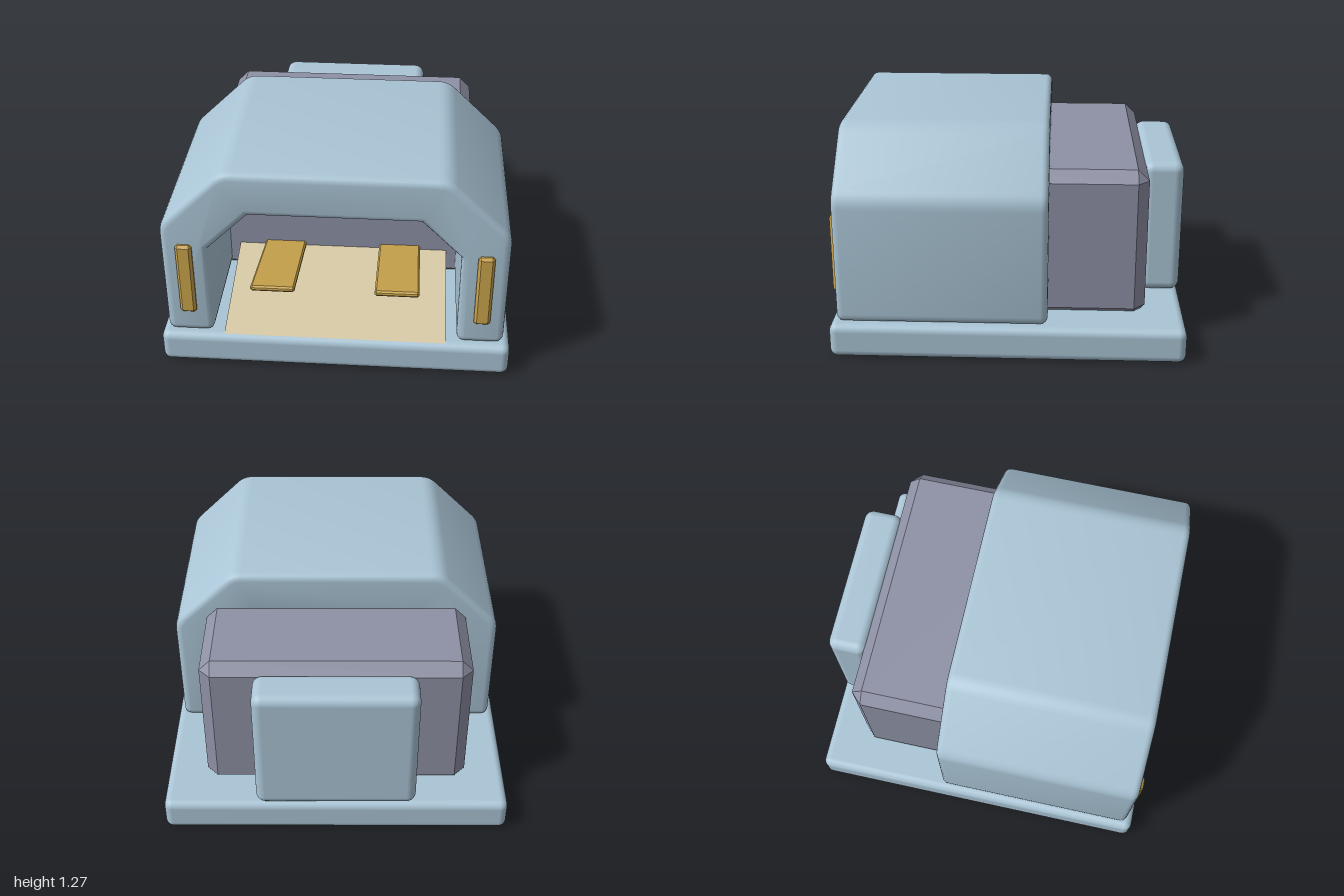
import * as THREE from 'three';
import { toCreasedNormals } from 'three/addons/utils/BufferGeometryUtils.js';
import { RoundedBoxGeometry } from 'three/addons/geometries/RoundedBoxGeometry.js';
import { ConvexGeometry } from 'three/addons/geometries/ConvexGeometry.js';

const mat = (name, color, side = THREE.FrontSide) => {
  const m = new THREE.MeshStandardMaterial({ color, side });
  m.name = name;
  return m;
};

// Box with every edge cut flat by c
function chamferBox(w, h, d, c) {
  const pts = [];
  for (const sx of [-1, 1]) for (const sy of [-1, 1]) for (const sz of [-1, 1]) {
    const [x, y, z] = [w / 2, h / 2, d / 2];
    pts.push(new THREE.Vector3(sx * x, sy * (y - c), sz * (z - c)));
    pts.push(new THREE.Vector3(sx * (x - c), sy * y, sz * (z - c)));
    pts.push(new THREE.Vector3(sx * (x - c), sy * (y - c), sz * z));
  }
  return new ConvexGeometry(pts);
}

// Closed outline from [x, y, cornerRadius] points
function roundedShape(points) {
  const shape = new THREE.Shape();
  const n = points.length;
  points.forEach(([x, y, r], i) => {
    const p = new THREE.Vector2(x, y);
    const toward = ([qx, qy]) => new THREE.Vector2(qx, qy).sub(p).setLength(r).add(p);
    const a = toward(points[(i + n - 1) % n]);
    const b = toward(points[(i + 1) % n]);
    if (i === 0) shape.moveTo(a.x, a.y); else shape.lineTo(a.x, a.y);
    if (r > 0) shape.quadraticCurveTo(x, y, b.x, b.y);
  });
  return shape;
}

export function createModel() {
  const group = new THREE.Group();
  const blue = mat('pale blue', 0xaac5d6);
  const grey = mat('violet grey', 0x8e91a5);
  const gold = mat('gold', 0xcba54d);
  const sand = mat('sand', 0xd6c9a4, THREE.DoubleSide);

  const add = (name, geometry, material, x, y, z) => {
    const mesh = new THREE.Mesh(geometry, material);
    mesh.name = name;
    mesh.position.set(x, y, z);
    group.add(mesh);
    return mesh;
  };

  // Base slab and rear block
  add('base', new RoundedBoxGeometry(2, 0.2, 2, 4, 0.045), blue, 0, 0.1, 0);
  add('rearBlock', new RoundedBoxGeometry(0.925, 0.8, 0.235, 4, 0.055), blue, 0, 0.6, -0.8825);

  // Arched shell: half outline, outer foot to inner foot, mirrored
  const outer = [[0.96, 0.2, 0.05], [0.96, 0.93, 0.06], [0.61, 1.27, 0.06]];
  const inner = [[0.47, 1.005, 0], [0.695, 0.78, 0], [0.695, 0.2, 0.05]];
  const flip = (list) => list.map(([x, y, r]) => [-x, y, r]).reverse();
  const bevel = 0.04;
  const shell = new THREE.ExtrudeGeometry(
    roundedShape([...outer, ...flip(outer), ...flip(inner), ...inner]),
    { depth: 1.185 - 2 * bevel, bevelSize: bevel, bevelThickness: bevel,
      bevelOffset: -bevel, bevelSegments: 4, curveSegments: 5 });
  add('archShell', toCreasedNormals(shell, 0.6), blue, 0, 0, -0.225 + bevel);

  // Inner core closing the arch
  add('core', chamferBox(1.53, 0.88, 1.07, 0.065), grey, 0, 0.6, -0.245);

  // Sloping entry ramp
  const ramp = add('ramp', new THREE.PlaneGeometry(1.27, 0.72), sand, 0, 0.282, 0.625);
  ramp.rotation.x = -Math.PI / 2 + 0.227;

  for (const side of [-1, 1]) {
    const label = side > 0 ? 'left' : 'right';
    // Tilted tongue, front end high
    const tongue = add(label + 'Tongue', chamferBox(0.25, 0.032, 0.72, 0.01), gold, side * 0.35, 0.439, 0.6);
    tongue.rotation.x = -0.22;
    // Front pillar strip
    add(label + 'Strip', chamferBox(0.092, 0.46, 0.06, 0.015), gold, side * 0.83, 0.58, 0.955);
  }
  return group;
}
